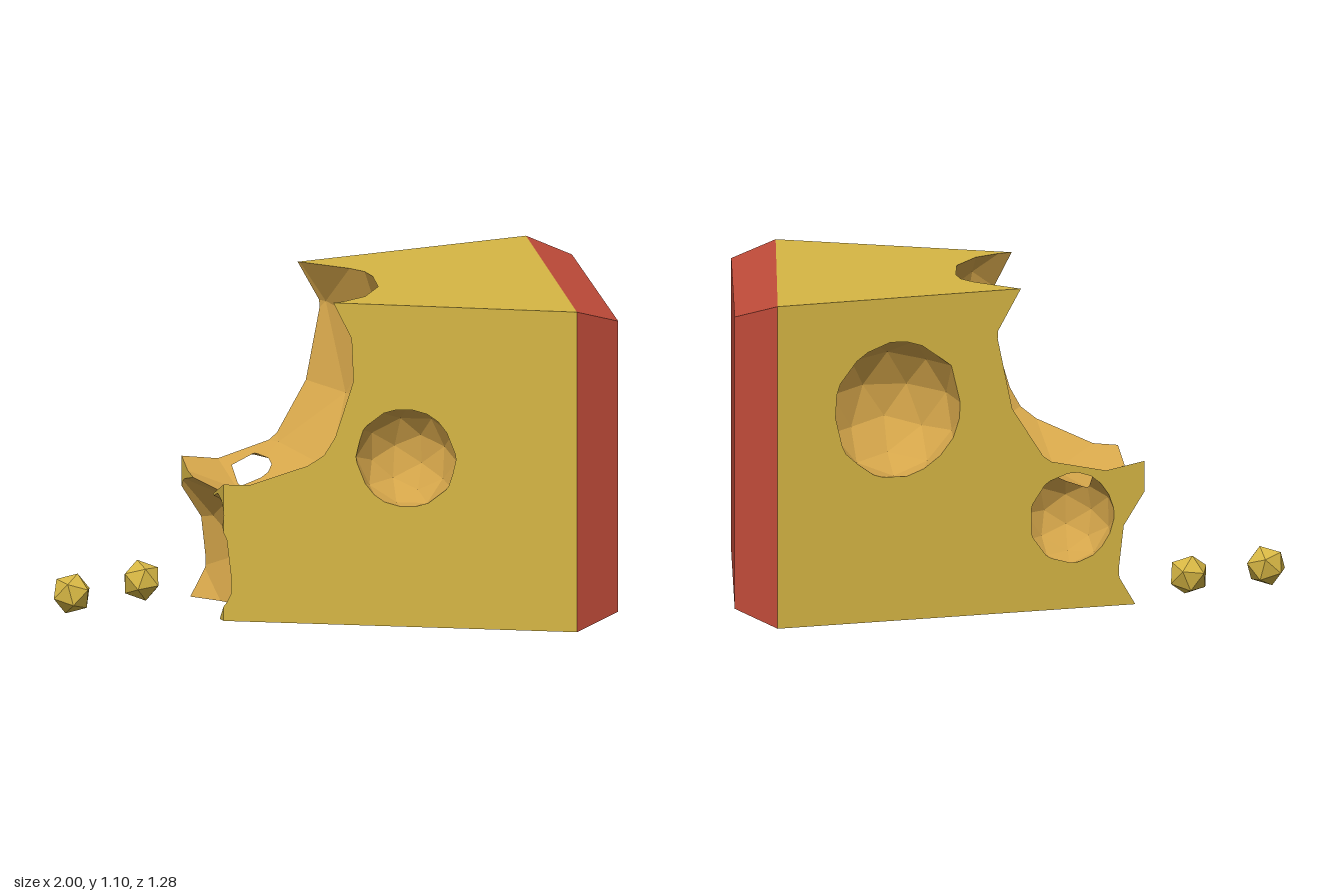
import * as THREE from 'three';

const V = (x, y, z) => new THREE.Vector3(x, y, z);

// Faces (corner loops) joining two matching rings, with both end caps
function prism(a, b) {
  const sides = a.map((p, i) => {
    const j = (i + 1) % a.length;
    return [p, a[j], b[j], b[i]];
  });
  return [...sides, b, [...a].reverse()];
}

// Faceted ball as a list of triangles
function ball([x, y, z], radius, [rx, ry, rz]) {
  const g = new THREE.IcosahedronGeometry(radius, 1);
  g.rotateX(rx).rotateY(ry).rotateZ(rz).translate(x, y, z);
  const p = g.attributes.position, faces = [];
  for (let i = 0; i < p.count; i += 3) {
    faces.push([0, 1, 2].map(k => new THREE.Vector3().fromBufferAttribute(p, i + k)));
  }
  return faces;
}

const planesOf = faces => faces.map(f => new THREE.Plane().setFromCoplanarPoints(f[0], f[1], f[2]));

// Split a polygon by a plane into its front and back pieces
function split(poly, plane) {
  const front = [], back = [], d = poly.map(p => plane.distanceToPoint(p));
  poly.forEach((p, i) => {
    const j = (i + 1) % poly.length;
    if (d[i] >= 0) front.push(p);
    if (d[i] <= 0) back.push(p);
    if (d[i] * d[j] < 0) {
      const m = p.clone().lerp(poly[j], d[i] / (d[i] - d[j]));
      front.push(m);
      back.push(m);
    }
  });
  return { front: front.length > 2 ? front : null, back: back.length > 2 ? back : null };
}

// Pieces of a polygon outside a convex solid
function outside(poly, planes) {
  const kept = [];
  let rest = poly;
  for (const plane of planes) {
    const { front, back } = split(rest, plane);
    if (front && back) kept.push(front);
    if (!back) return [poly];
    rest = back;
  }
  return kept;
}

// Piece of a polygon inside a convex solid
function inside(poly, planes) {
  for (const plane of planes) {
    poly = split(poly, plane).back;
    if (!poly) return [];
  }
  return [poly];
}

function meshFrom(polys, material, name) {
  const pts = [];
  for (const p of polys) {
    for (let i = 1; i < p.length - 1; i++) pts.push(p[0], p[i], p[i + 1]);
  }
  const g = new THREE.BufferGeometry().setFromPoints(pts);
  g.computeVertexNormals();
  const mesh = new THREE.Mesh(g, material);
  mesh.name = name;
  return mesh;
}

export function createModel() {
  const material = (name, color) => Object.assign(new THREE.MeshStandardMaterial({ color }), { name });
  const cheese = material('cheese yellow', 0xd6b644);
  const hollow = material('hollow orange', 0xd4a54a);
  const rind = material('rind red', 0xc24c3a);

  const group = new THREE.Group();
  group.name = 'cheeseWedge';

  // Wedge block with its tip already cut away
  const plan = [[-0.54, -0.18], [0.35, 0.635], [0.9, -0.61], [-0.445, -0.61]];
  const block = prism(
    plan.map(([x, z]) => V(x, 0.005 + 0.005 * x + 0.004 * z, z)),
    plan.map(([x, z]) => V(x, 1.1, z)));
  const blockPlanes = planesOf(block);

  // Bites and holes: centre, radius, turn
  const cuts = [
    ['upperBite', [-0.33, 0.87, -0.35], 0.51, [0.3, 0.5, 0.2]],
    ['lowerBite', [-0.64, 0.17, -0.46], 0.335, [0.1, 0.9, 0.4]],
    ['frontHole', [-0.08, 0.58, 0.24], 0.175, [0.4, 0.2, 0.1]],
    ['backHole', [0.46, 0.72, -0.6], 0.24, [0.2, 0.7, 0.5]],
    ['smallBackHole', [-0.18, 0.31, -0.58], 0.162, [0.6, 0.1, 0.3]],
    ['nibble', [-0.56, 0.36, -0.25], 0.075, [0.2, 0.3, 0.6]],
  ].map(([name, centre, radius, turn]) => {
    const faces = ball(centre, radius, turn);
    return { name, faces, planes: planesOf(faces) };
  });

  // Outer skin with the cuts removed
  let skin = block;
  for (const cut of cuts) skin = skin.flatMap(p => outside(p, cut.planes));
  group.add(meshFrom(skin, cheese, 'cheeseBody'));

  // Inward-facing walls of each bite and hole
  for (const cut of cuts) {
    let walls = cut.faces.flatMap(p => inside(p, blockPlanes));
    for (const other of cuts) {
      if (other !== cut) walls = walls.flatMap(p => outside(p, other.planes));
    }
    group.add(meshFrom(walls.map(p => [...p].reverse()), hollow, cut.name));
  }

  // Bevelled rind on the wide end
  group.add(meshFrom(prism(
    [V(0.35, 0.009, 0.635), V(0.9, 0.007, -0.61), V(0.9, 1.1, -0.61), V(0.35, 1.1, 0.635)],
    [V(0.52, 0.06, 0.62), V(0.995, 0.06, -0.47), V(0.995, 1.05, -0.47), V(0.52, 1.05, 0.62)],
  ), rind, 'rind'));

  // Loose crumbs
  [[-0.935, 0.08, -0.51, 0.3], [-0.62, 0.082, -0.58, 1.1]].forEach(([x, y, z, turn], i) => {
    const crumb = new THREE.Mesh(new THREE.IcosahedronGeometry(0.07, 0), cheese);
    crumb.position.set(x, y, z);
    crumb.rotation.set(turn, turn * 2, 0.2);
    crumb.name = 'crumb' + (i + 1);
    group.add(crumb);
  });

  return group;
}
